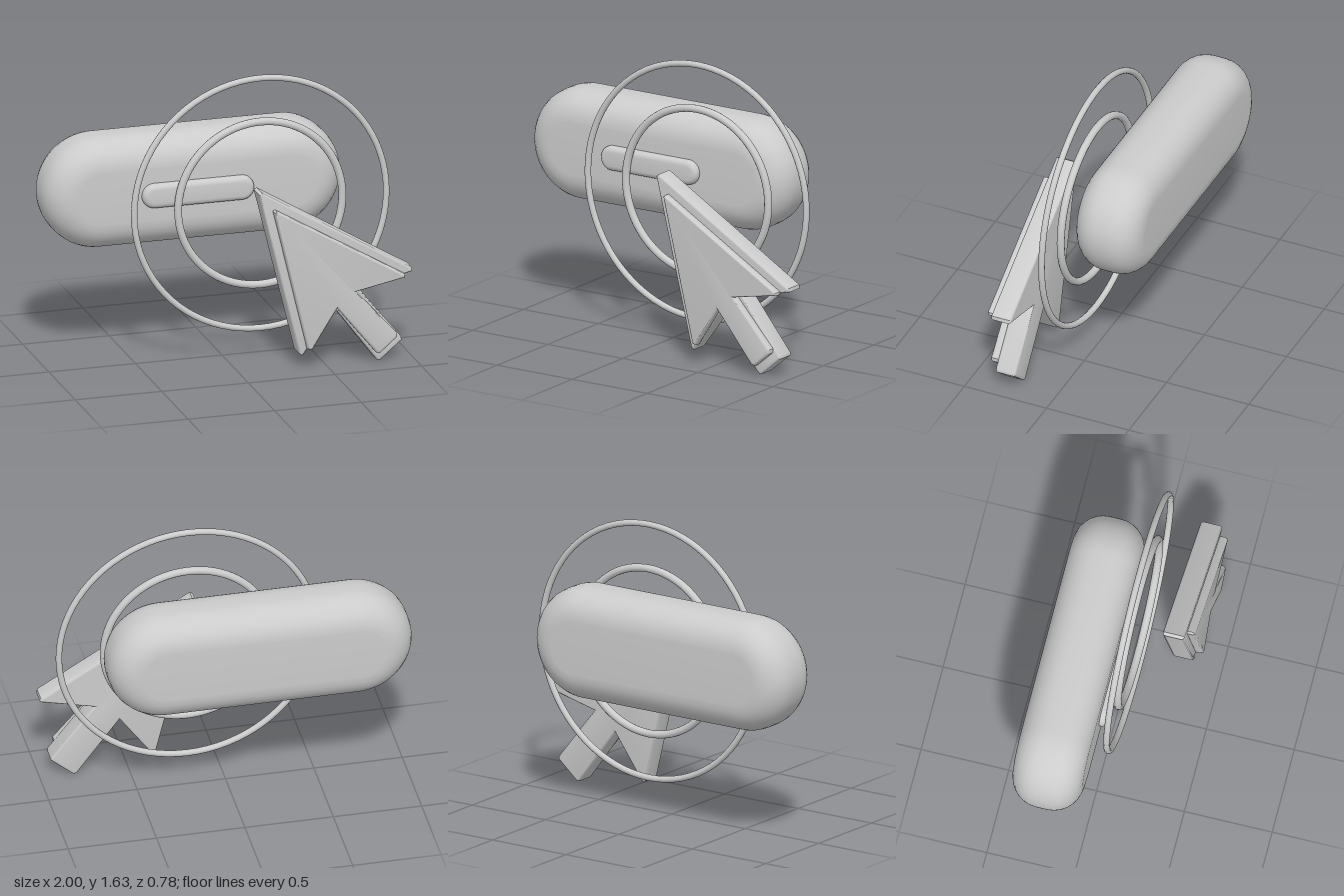
import * as THREE from 'three';
import { toCreasedNormals } from 'three/addons/utils/BufferGeometryUtils.js';

const material = new THREE.MeshStandardMaterial({ color: 0xcccccc });

function addMesh(group, name, geometry) {
  const mesh = new THREE.Mesh(geometry, material);
  mesh.name = name;
  group.add(mesh);
  return mesh;
}

// Stadium outline centred on (cx, cy)
function pillShape(cx, cy, width, height) {
  const r = height / 2, h = width / 2 - r;
  const s = new THREE.Shape();
  s.absarc(cx + h, cy, r, -Math.PI / 2, Math.PI / 2, false);
  s.absarc(cx - h, cy, r, Math.PI / 2, Math.PI * 1.5, false);
  s.closePath();
  return s;
}

function polygonShape(points) {
  return new THREE.Shape(points.map(([x, y]) => new THREE.Vector2(x, y)));
}

// Extrusion between two z planes whose rounded edge stays inside the outline
function roundedSlab(shape, zBack, zFront, bevel, bevelSegments, crease) {
  const geometry = new THREE.ExtrudeGeometry(shape, {
    depth: zFront - zBack - 2 * bevel,
    curveSegments: 20,
    bevelEnabled: true,
    bevelThickness: bevel,
    bevelSize: bevel,
    bevelOffset: -bevel,
    bevelSegments,
  });
  geometry.translate(0, 0, zBack + bevel);
  return toCreasedNormals(geometry, crease);
}

export function createModel() {
  const model = new THREE.Group();
  model.name = 'buttonClick';

  // Pillow-edged button and the raised bar on its face
  addMesh(model, 'button',
    roundedSlab(pillShape(-0.14, 0.98, 1.72, 0.64), -0.39, 0.005, 0.165, 7, 0.8));
  addMesh(model, 'buttonBar',
    roundedSlab(pillShape(-0.143, 0.977, 0.645, 0.14), -0.03, 0.045, 0.03, 4, 0.8));

  // Click ripples
  const ripples = [
    ['innerRipple', 0.474, 0.022],
    ['outerRipple', 0.728, 0.018],
  ];
  for (const [name, radius, tube] of ripples) {
    addMesh(model, name, new THREE.TorusGeometry(radius, tube, 12, 80))
      .position.set(0.201, 0.893, 0.063);
  }

  // Pointer: thick backing plate with a smaller plate on its front
  const pointer = new THREE.Group();
  pointer.name = 'pointer';
  addMesh(pointer, 'pointerBack', roundedSlab(polygonShape([
    [0.112, 1.035], [0.345, 0.085], [0.363, 0.072], [0.55, 0.33], [0.792, 0.008],
    [0.81, 0.004], [0.936, 0.11], [0.934, 0.128], [0.69, 0.432],
    [0.998, 0.505], [0.994, 0.526], [0.13, 1.045],
  ]), 0.22, 0.342, 0.014, 3, 0.6));
  addMesh(pointer, 'pointerFront', roundedSlab(polygonShape([
    [0.188, 0.938], [0.383, 0.122], [0.405, 0.115], [0.55, 0.345], [0.775, 0.065],
    [0.797, 0.06], [0.896, 0.145], [0.896, 0.168], [0.66, 0.432],
    [0.942, 0.487], [0.942, 0.504], [0.2, 0.945],
  ]), 0.33, 0.388, 0.016, 3, 0.6));
  model.add(pointer);

  return model;
}
